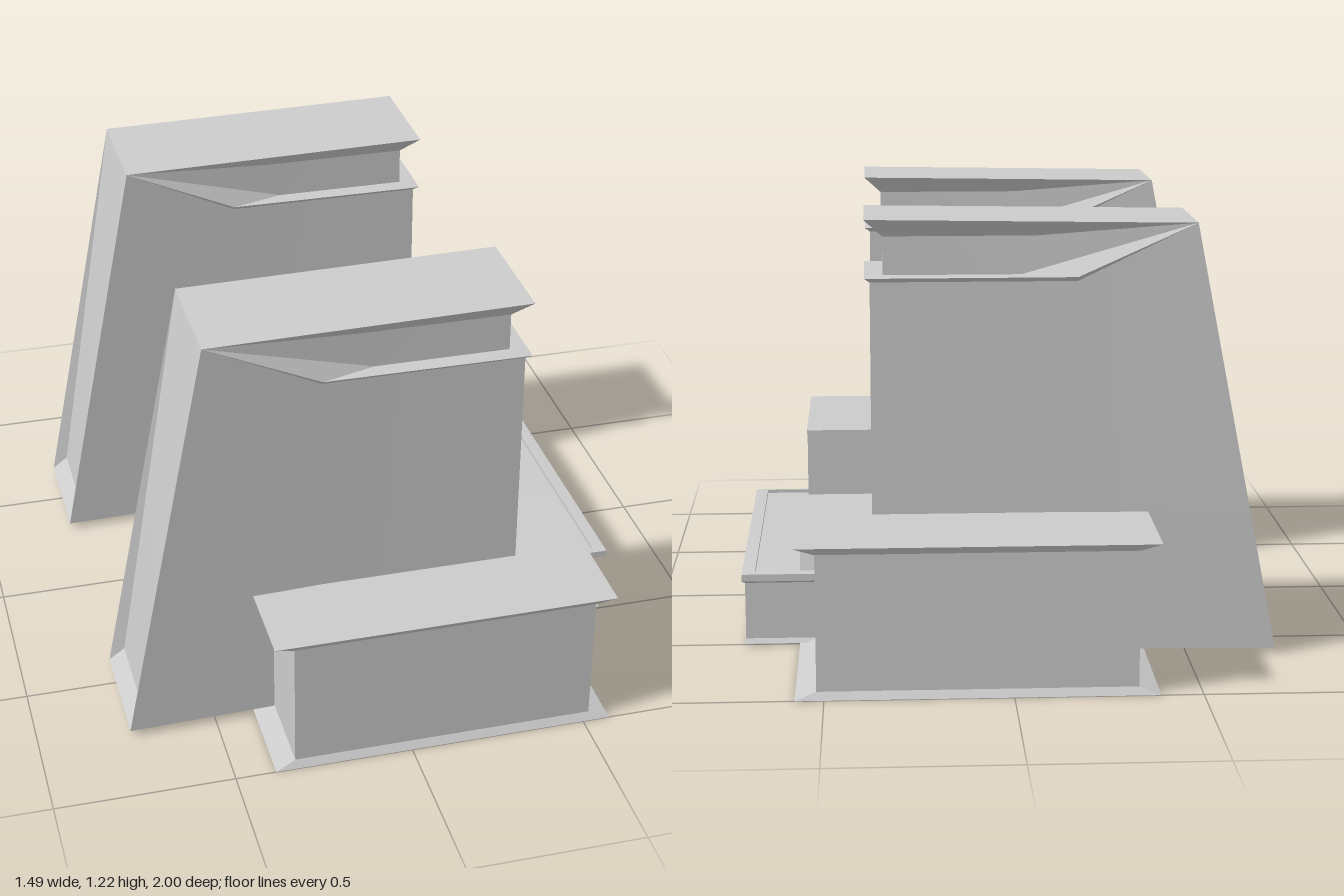
import * as THREE from 'three';
import { toCreasedNormals } from 'three/addons/utils/BufferGeometryUtils.js';

const material = new THREE.MeshStandardMaterial({ color: 0xcccccc });

// Mesh from a list of polygons (each a convex fan of [x, y, z] corners)
function polyMesh(name, polys) {
  const pos = [];
  for (const p of polys)
    for (let i = 1; i < p.length - 1; i++) pos.push(...p[0], ...p[i], ...p[i + 1]);
  const g = new THREE.BufferGeometry();
  g.setAttribute('position', new THREE.Float32BufferAttribute(pos, 3));
  const mesh = new THREE.Mesh(toCreasedNormals(g, 0.45), material);
  mesh.name = name;
  return mesh;
}

// Stack of closed outlines: levels = [[y, [[x, z], ...]], ...], capped at both ends
function stack(name, levels) {
  const rings = levels.map(([y, pts]) => pts.map(([x, z]) => [x, y, z]));
  const polys = [];
  for (let k = 0; k < rings.length - 1; k++) {
    const a = rings[k], b = rings[k + 1];
    a.forEach((p, i) => {
      const j = (i + 1) % a.length;
      polys.push([p, a[j], b[j], b[i]]);
    });
  }
  const cap = (ring, flip) => {
    const flat = ring.map(([x, , z]) => new THREE.Vector2(x, -z));
    for (const f of THREE.ShapeUtils.triangulateShape(flat, []))
      polys.push((flip ? [f[2], f[1], f[0]] : f).map((i) => ring[i]));
  };
  cap(rings[0], true);
  cap(rings[rings.length - 1], false);
  return polyMesh(name, polys);
}

// Side block with flared foot and eaves; s = +1 front, -1 back
function sideBlock(name, s) {
  const orient = (pts) => (s > 0 ? pts : pts.map(([x, z]) => [x, -z]).reverse());
  const edge = orient([[-0.387, 1], [0.577, 1], [0.577, 0.5], [0.577, 0.45], [-0.387, 0.45]]);
  const wall = orient([[-0.33, 0.985], [0.52, 0.985], [0.52, 0.5], [0.575, 0.45], [-0.33, 0.45]]);
  return stack(name, [[0, edge], [0.02, wall], [0.39, wall], [0.41, edge]]);
}

// Tower with slanted back, recessed back panel and an overhanging top
function tower(name, z) {
  const P = {
    heel: [-0.745, 0.018, 0.17], backTop: [-0.512, 1.207, 0.17], brow: [0.385, 1.22, 0.17],
    neckFrontTop: [0.335, 1.17, 0.125], neckFrontLow: [0.335, 1.065, 0.125],
    neckBackTop: [-0.08, 1.17, 0.125], neckBackLow: [-0.04, 1.065, 0.125],
    lipBack: [-0.19, 1.062, 0.167], lipFront: [0.385, 1.062, 0.17],
    wallBackTop: [-0.19, 1.05, 0.155], wallFrontTop: [0.37, 1.05, 0.155],
    wallBackLow: [-0.19, 0.018, 0.155], wallFrontLow: [0.37, 0.018, 0.155],
    panelTop: [-0.517, 1.19, 0.156], panelLow: [-0.702, 0.06, 0.156],
  };
  const sideFaces = [
    'wallBackLow wallFrontLow wallFrontTop wallBackTop',
    'wallBackTop wallFrontTop lipFront lipBack',
    'lipBack lipFront neckFrontLow neckBackLow',
    'neckBackLow neckFrontLow neckFrontTop neckBackTop',
    'neckBackTop neckFrontTop brow backTop',
    'backTop heel wallBackLow wallBackTop lipBack neckBackLow neckBackTop',
    'panelLow heel backTop panelTop',
  ];
  const mirror = ([x, y, d]) => [x, y, -d];
  const polys = [];
  for (const f of sideFaces) {
    const p = f.split(' ').map((n) => P[n]);
    polys.push(p, [p[0], ...p.slice(1).reverse()].map(mirror));
  }
  // Faces running across from side to side, all the way round the profile
  const loop = ['wallFrontLow', 'wallFrontTop', 'lipFront', 'neckFrontLow', 'neckFrontTop',
    'brow', 'backTop', 'panelTop', 'panelLow', 'heel', 'wallBackLow'].map((n) => P[n]);
  loop.forEach((p, i) => {
    const q = loop[(i + 1) % loop.length];
    polys.push([p, mirror(p), mirror(q), q]);
  });
  const mesh = polyMesh(name, polys);
  mesh.position.z = z;
  return mesh;
}

// Low platform between the towers with flared foot and raised rim
function platform() {
  const foot = [[-0.468, 0.5], [0.73, 0.5], [0.73, -0.5], [0.73, -0.51], [-0.46, -0.51]];
  const wall = [[-0.41, 0.475], [0.67, 0.475], [0.67, -0.42], [0.728, -0.5], [-0.41, -0.5]];
  const rim = [[-0.46, 0.5], [0.742, 0.5], [0.737, -0.5], [0.737, -0.512], [-0.468, -0.512]];
  const inner = [[-0.425, 0.478], [0.705, 0.478], [0.7, -0.48], [0.7, -0.488], [-0.435, -0.488]];
  return stack('platform', [[0.005, foot], [0.018, wall], [0.18, wall], [0.187, rim],
    [0.207, rim], [0.21, inner], [0.2, inner]]);
}

export function createModel() {
  const group = new THREE.Group();
  group.name = 'twinTowerBuilding';
  group.add(
    platform(),
    sideBlock('frontBlock', 1),
    sideBlock('backBlock', -1),
    tower('frontTower', 0.58),
    tower('backTower', -0.49),
  );
  return group;
}
